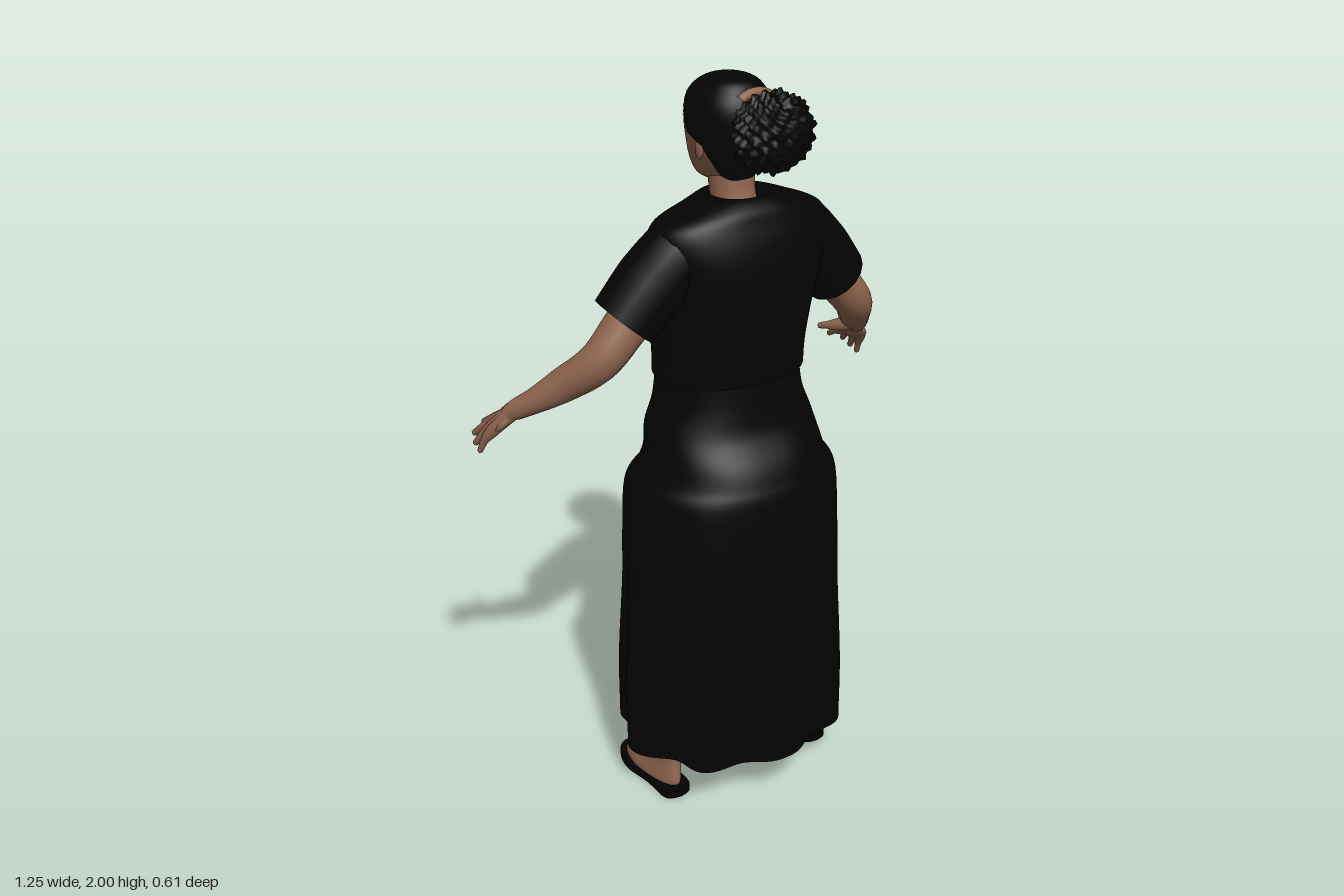
import * as THREE from 'three';

const mat = (name, color, side = THREE.FrontSide) => {
  const m = new THREE.MeshStandardMaterial({ color, side });
  m.name = name;
  return m;
};
const V = (x, y, z) => new THREE.Vector3(x, y, z);
const { clamp, lerp } = THREE.MathUtils;

// Smooth skin over level sections, rows going up: [y, halfWidth, zFront, zBack]
function loft(rows, { n = 2, segs = 64, steps = 6, rule } = {}) {
  const smooth = (f) => new THREE.CatmullRomCurve3(rows.map(f), false, 'catmullrom');
  const size = smooth((r) => V(r[1], r[2], r[3])), height = smooth((r) => V(r[0], 0, 0));
  const count = (rows.length - 1) * steps, pos = [], idx = [];
  const pw = (c) => Math.sign(c) * Math.abs(c) ** (2 / n);
  for (let i = 0; i <= count; i++) {
    const s = size.getPoint(i / count), y = height.getPoint(i / count).x;
    for (let j = 0; j < segs; j++) {
      const a = (j / segs) * Math.PI * 2;
      const v = V(s.x * pw(Math.cos(a)), y, (s.y + s.z) / 2 + ((s.z - s.y) / 2) * pw(Math.sin(a)));
      if (rule) rule(v, a, (s.y + s.z) / 2);
      pos.push(v.x, v.y, v.z);
      if (i < count) {
        const p = i * segs + j, q = i * segs + ((j + 1) % segs);
        idx.push(p, p + segs, q, p + segs, q + segs, q);
      }
    }
  }
  const g = new THREE.BufferGeometry();
  g.setAttribute('position', new THREE.Float32BufferAttribute(pos, 3));
  g.setIndex(idx);
  g.computeVertexNormals();
  return g;
}

// Tube of changing thickness through [x, y, z, radius]
function limb(points, side = 1, segs = 32, sides = 18) {
  const curve = new THREE.CatmullRomCurve3(points.map((p) => V(p[0] * side, p[1], p[2])));
  const g = new THREE.TubeGeometry(curve, segs, 1, sides);
  const { position: P, normal: N } = g.attributes;
  const last = points.length - 1;
  for (let i = 0; i < P.count; i++) {
    const t = curve.getUtoTmapping(Math.floor(i / (sides + 1)) / segs) * last;
    const k = Math.min(Math.floor(t), last - 1);
    const d = lerp(points[k][3], points[k + 1][3], t - k) - 1;
    P.setXYZ(i, P.getX(i) + N.getX(i) * d, P.getY(i) + N.getY(i) * d, P.getZ(i) + N.getZ(i) * d);
  }
  return g;
}

export function createModel() {
  const model = new THREE.Group();
  const skin = mat('skin', 0x8f654f);
  const cloth = mat('black cloth', 0x030303, THREE.DoubleSide);
  const hair = mat('black hair', 0x040404);
  const eyeWhite = mat('eye white', 0x8c8079);
  const add = (name, geo, m) => {
    const mesh = new THREE.Mesh(geo, m);
    mesh.name = name;
    model.add(mesh);
    return mesh;
  };
  const ball = (name, m, p, s) => {
    const b = add(name, new THREE.SphereGeometry(1, 24, 16), m);
    b.position.set(...p);
    b.scale.set(...s);
    return b;
  };

  // Skirt, with eight folds that deepen towards the hem; wider in front than behind
  add('skirt', loft([
    [0.145, 0.344, -0.219, 0.305], [0.35, 0.343, -0.215, 0.301], [0.6, 0.321, -0.209, 0.294],
    [0.75, 0.315, -0.204, 0.287], [0.92, 0.302, -0.192, 0.272], [0.98, 0.263, -0.168, 0.255],
    [1.03, 0.246, -0.153, 0.232], [1.09, 0.235, -0.15, 0.187], [1.16, 0.208, -0.142, 0.17],
    [1.25, 0.195, -0.138, 0.16],
  ], { n: 2.35, segs: 128, rule: (v, a, zc) => {
    const deep = clamp((0.98 - v.y) / 0.8, 0, 1);
    const f = 1 - 0.12 * deep * (0.5 - 0.5 * Math.cos(8 * a));
    v.x *= f * (1 - clamp(v.z - 0.03, 0, 1) * 0.5 + clamp(-v.z - 0.05, 0, 1) * 0.35);
    v.z = zc + (v.z - zc) * f;
    if (v.z < 0) v.z += 0.02 * deep * Math.exp(-((v.x / 0.04) ** 2));
  } }), cloth);

  // Shirt, with a soft bust on the front (-z)
  add('shirtBody', loft([
    [1.23, 0.205, -0.152, 0.17], [1.3, 0.206, -0.154, 0.177], [1.39, 0.217, -0.16, 0.19],
    [1.44, 0.222, -0.153, 0.2], [1.53, 0.238, -0.12, 0.204], [1.6, 0.25, -0.092, 0.195],
    [1.655, 0.235, -0.063, 0.178], [1.69, 0.16, -0.04, 0.163], [1.712, 0.085, -0.03, 0.13],
    [1.695, 0.055, -0.015, 0.1],
  ], { n: 2.3, rule: (v) => {
    if (v.z < 0.02) {
      v.z -= 0.02 * Math.exp(-(((Math.abs(v.x) - 0.09) / 0.06) ** 2) - ((v.y - 1.425) / 0.055) ** 2);
    }
  } }), cloth);

  // Head and face
  const headRows = [
    [1.728, 0.001, -0.06, -0.058], [1.731, 0.035, -0.088, 0.02], [1.748, 0.06, -0.101, 0.072],
    [1.785, 0.081, -0.105, 0.098], [1.83, 0.094, -0.105, 0.112], [1.88, 0.1, -0.108, 0.119],
    [1.925, 0.096, -0.1, 0.117], [1.96, 0.078, -0.077, 0.1], [1.983, 0.05, -0.04, 0.075],
    [1.993, 0.001, 0.014, 0.016],
  ];
  add('head', loft(headRows, { n: 2.2 }), skin);
  add('neck', limb([[0, 1.64, 0.05, 0.062], [0, 1.7, 0.03, 0.058], [0, 1.8, 0.02, 0.06]]), skin);
  ball('nose', skin, [0, 1.816, -0.105], [0.017, 0.013, 0.018]);
  ball('noseBridge', skin, [0, 1.838, -0.101], [0.009, 0.03, 0.011]);
  ball('upperLip', skin, [0, 1.778, -0.099], [0.027, 0.008, 0.011]);
  ball('lowerLip', skin, [0, 1.766, -0.098], [0.023, 0.008, 0.01]);

  // Hair shell: stands proud behind the hairline and sinks into the head before it
  const line = [[1.74, 0.055], [1.79, 0.05], [1.835, 0.03], [1.86, -0.03], [1.93, -0.06], [1.952, -0.076], [1.985, -0.12]];
  const hairline = (y) => {
    const found = line.findIndex((p) => p[0] > y);
    const k = found < 0 ? line.length - 1 : Math.max(found, 1);
    const [a, b] = [line[k - 1], line[k]];
    return lerp(a[1], b[1], clamp((y - a[0]) / (b[0] - a[0]), 0, 1));
  };
  add('hair', loft(headRows, { n: 2.2, steps: 10, segs: 96, rule: (v) => {
    const out = clamp((v.z - hairline(v.y)) * 0.5, -0.012, 0.008);
    v.addScaledVector(V(v.x, v.y - 1.87, v.z).normalize(), out);
  } }), hair);

  // Curly bun and its band
  const bunGeo = new THREE.SphereGeometry(1, 80, 48), bp = bunGeo.attributes.position;
  for (let i = 0; i < bp.count; i++) {
    const v = V().fromBufferAttribute(bp, i);
    v.multiplyScalar(0.94 + 0.08 * Math.sin(17 * v.x + 2) * Math.sin(18 * v.y + 5 * v.z) + 0.04 * Math.sin(25 * v.z + 11 * v.x));
    bp.setXYZ(i, v.x, v.y, v.z);
  }
  bunGeo.computeVertexNormals();
  const bun = add('hairBun', bunGeo, hair);
  bun.position.set(0.01, 1.885, 0.189);
  bun.scale.set(0.112, 0.102, 0.074);
  const band = add('hairBand', new THREE.TorusGeometry(0.076, 0.012, 12, 32, Math.PI * 0.4), skin);
  band.position.set(0.008, 1.892, 0.118);
  band.rotation.z = Math.PI * 0.3;

  // Sole outline, toe end upwards
  const sole = new THREE.Shape(new THREE.SplineCurve([
    [0, -0.13], [0.04, -0.11], [0.045, -0.02], [0.06, 0.07], [0.04, 0.14], [0.0, 0.167],
    [-0.04, 0.14], [-0.058, 0.07], [-0.045, -0.02], [-0.04, -0.11], [0, -0.13],
  ].map((p) => new THREE.Vector2(...p))).getPoints(60));

  for (const s of [1, -1]) {
    const part = (n) => (s > 0 ? 'left' : 'right') + n;

    // Face details
    ball(part('Eye'), eyeWhite, [s * 0.037, 1.857, -0.1], [0.013, 0.005, 0.004]).rotation.y = s * 0.2;
    ball(part('Iris'), hair, [s * 0.037, 1.857, -0.1015], [0.006, 0.005, 0.0035]);
    ball(part('UpperLid'), hair, [s * 0.037, 1.8625, -0.1], [0.015, 0.002, 0.004]).rotation.y = s * 0.2;
    ball(part('Brow'), hair, [s * 0.04, 1.88, -0.1005], [0.02, 0.003, 0.003]).rotation.set(0, s * 0.25, -s * 0.1);
    ball(part('Ear'), skin, [s * 0.092, 1.822, 0.02], [0.007, 0.026, 0.015]);

    // Sleeve and arm
    add(part('Sleeve'), limb([
      [0.12, 1.612, 0.06, 0.078], [0.18, 1.58, 0.055, 0.092],
      [0.25, 1.512, 0.043, 0.094], [0.325, 1.425, 0.03, 0.087],
    ], s), cloth);
    add(part('Arm'), limb([
      [0.24, 1.5, 0.05, 0.058], [0.32, 1.42, 0.04, 0.058], [0.395, 1.335, 0.028, 0.053],
      [0.462, 1.26, -0.045, 0.045], [0.515, 1.21, -0.1, 0.033], [0.55, 1.178, -0.142, 0.027],
      [0.565, 1.16, -0.165, 0.018],
    ], s), skin);

    // Hand: each finger runs from the wrist through its knuckle to the tip
    const palm = ball(part('Palm'), skin, [s * 0.561, 1.147, -0.182], [0.05, 0.018, 0.046]);
    palm.rotation.set(-0.45, 0, -s * 0.7);
    const fingers = {
      Thumb: [[0.525, 1.165, -0.185, 0.02], [0.508, 1.155, -0.22, 0.012], [0.498, 1.145, -0.253, 0.008]],
      Index: [[0.556, 1.137, -0.21, 0.018], [0.564, 1.113, -0.26, 0.01], [0.571, 1.09, -0.298, 0.008]],
      Middle: [[0.576, 1.13, -0.21, 0.018], [0.596, 1.1, -0.25, 0.01], [0.609, 1.072, -0.28, 0.008]],
      Ring: [[0.59, 1.12, -0.2, 0.018], [0.608, 1.085, -0.232, 0.01], [0.618, 1.055, -0.255, 0.008]],
      Little: [[0.598, 1.115, -0.185, 0.018], [0.612, 1.08, -0.208, 0.01], [0.62, 1.044, -0.224, 0.007]],
    };
    for (const [name, pts] of Object.entries(fingers)) {
      const tip = [...pts[2].slice(0, 3).map((c, i) => c + (c - pts[1][i]) * 0.1), 0.0005];
      add(part(name + 'Finger'), limb([[0.548, 1.178, -0.14, 0.02], ...pts, tip], s, 20, 10), skin);
    }

    // Leg and foot in one, leaning inwards to the hip; the heel is narrower than the toes
    add(part('LegAndFoot'), loft([
      [0.015, 0.046, -0.15, 0.1], [0.032, 0.046, -0.146, 0.103], [0.05, 0.043, -0.122, 0.1],
      [0.07, 0.039, -0.09, 0.096], [0.1, 0.035, -0.045, 0.093], [0.14, 0.035, -0.002, 0.097],
      [0.2, 0.04, 0, 0.105], [0.32, 0.053, 0.003, 0.12], [0.55, 0.07, -0.02, 0.13], [0.95, 0.1, -0.06, 0.15],
    ], { n: 2.2, segs: 36, rule: (v) => {
      const low = clamp((0.12 - v.y) / 0.08, 0, 1);
      v.x = v.x * (1 - low * clamp(v.z * 2.2, -0.1, 0.22)) + s * (0.236 - 0.1 * v.y);
    } }), skin);

    // Sandal
    const sandal = add(part('Sandal'), new THREE.ExtrudeGeometry(sole, { depth: 0.021, bevelEnabled: false }), cloth);
    sandal.rotation.x = -Math.PI / 2;
    sandal.position.x = s * 0.239;
  }
  return model;
}
